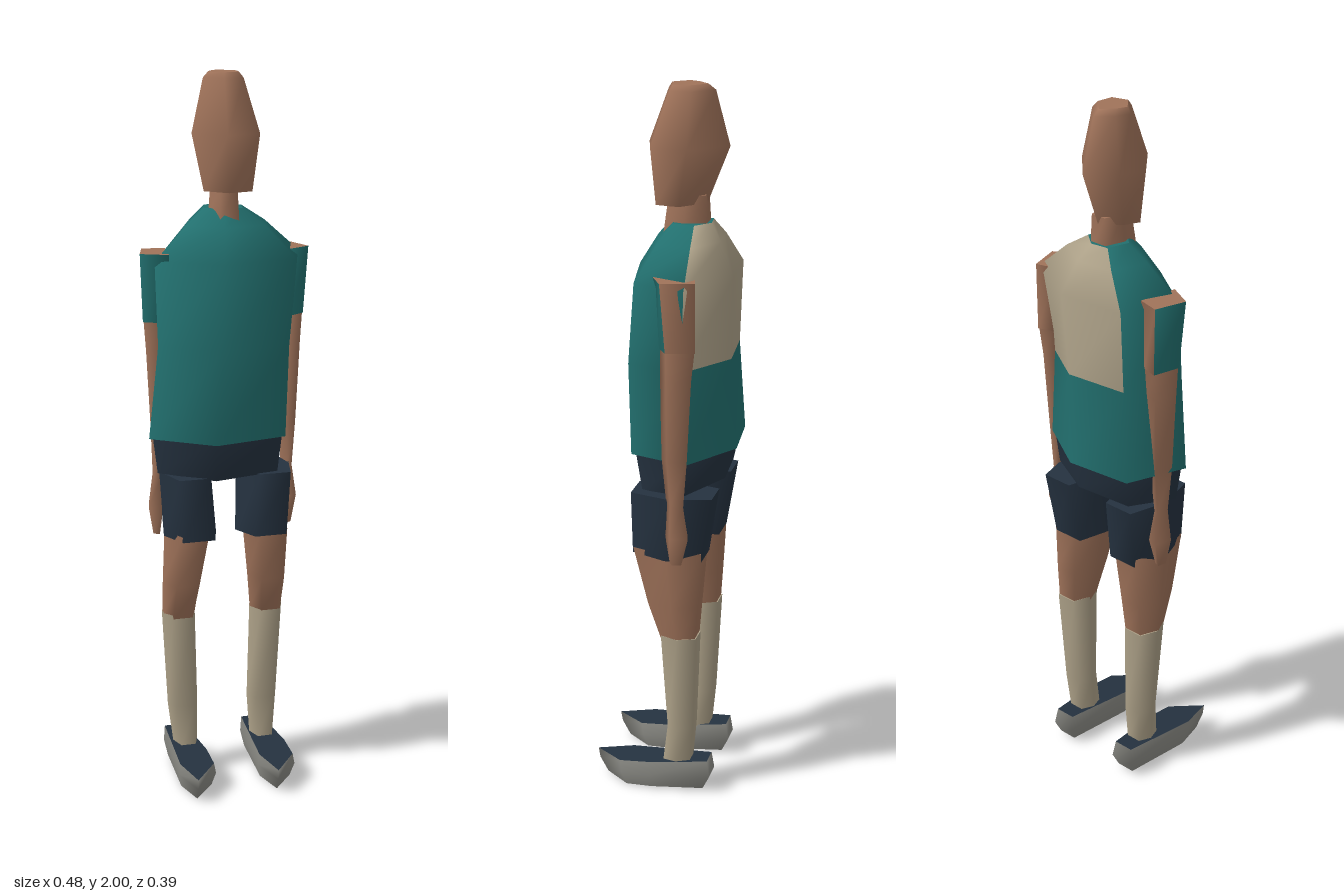
import * as THREE from 'three';

const mat = (name, color) => Object.assign(new THREE.MeshStandardMaterial({ color }), { name });

// Cross-section outlines in a -1..1 box, ordered back, +x, front, -x
const BODY = [[-0.7, -0.88], [0.2, -1], [1, -0.35], [0.75, 0.7], [-0.25, 1], [-1, 0.2]];
const HEAD = [[-0.7, -0.4], [0, -1], [1, -0.15], [0.85, 0.75], [-0.2, 1], [-1, 0.2]];
const LIMB = [[-0.6, -1], [0.6, -1], [1, 0], [0.6, 1], [-0.6, 1], [-1, 0]];
const ARM_R = [[-0.4, -1], [1, -0.75], [0.6, 1], [-1, 0.4]];
const ARM_L = [[0.4, -1], [1, 0.4], [-0.6, 1], [-1, -0.75]];
const SHOE = [[-0.6, -1], [0.6, -1], [1, 0], [0.95, 0.5], [-0.45, 1], [-0.95, 0.4]];

// Loft rings [y, x0, x1, z0, z1, tilt] from bottom to top.
// pick(row, side) gives a material index; row -1 is the bottom cap, row = rings - 1 the top cap.
function loft(name, outline, rings, mats, pick = () => 0) {
  const n = outline.length, pos = [], faces = mats.map(() => []);
  const ringPoints = ([y, x0, x1, z0, z1, tilt = 0]) => outline.map(([px, pz]) =>
    [(x0 + x1) / 2 + px * (x1 - x0) / 2, y + tilt * pz, (z0 + z1) / 2 + pz * (z1 - z0) / 2]);
  rings.forEach((r) => pos.push(...ringPoints(r).flat()));
  for (let r = 0; r < rings.length - 1; r++) {
    for (let i = 0; i < n; i++) {
      const j = (i + 1) % n, a = r * n + i, b = r * n + j;
      faces[pick(r, i)].push(b, a, a + n, b, a + n, b + n);
    }
  }
  // Flat caps on their own vertices
  [[0, -1], [rings.length - 1, rings.length - 1]].forEach(([r, row]) => {
    const base = pos.length / 3;
    pos.push(...ringPoints(rings[r]).flat());
    for (let i = 1; i < n - 1; i++) {
      const tri = row < 0 ? [base, base + i, base + i + 1] : [base, base + i + 1, base + i];
      faces[pick(row, 0)].push(...tri);
    }
  });
  const g = new THREE.BufferGeometry();
  g.setAttribute('position', new THREE.Float32BufferAttribute(pos, 3));
  g.setIndex(faces.flat());
  let start = 0;
  faces.forEach((f, k) => { g.addGroup(start, f.length, k); start += f.length; });
  g.computeVertexNormals();
  const mesh = new THREE.Mesh(g, mats.length > 1 ? mats : mats[0]);
  mesh.name = name;
  return mesh;
}

export function createModel() {
  const model = new THREE.Group();
  model.name = 'standingFigure';
  const skin = mat('skin', 0xa0735a);
  const teal = mat('tealShirt', 0x22706f);
  const cream = mat('cream', 0xaea289);
  const navy = mat('navy', 0x253240);
  const grey = mat('shoeGrey', 0x8c8c86);

  // Head and neck
  model.add(loft('head', HEAD, [
    [1.685, -0.065, 0.07, -0.1, 0.045],
    [1.84, -0.095, 0.092, -0.16, 0.065],
    [1.985, -0.058, 0.053, -0.12, 0.01],
    [2.0, -0.045, 0.04, -0.1, 0.0],
  ], [skin]));
  model.add(loft('neck', LIMB, [
    [1.6, -0.045, 0.045, -0.105, 0.015],
    [1.71, -0.035, 0.04, -0.1, 0.0],
  ], [skin]));

  // Shirt with a cream panel on the upper back
  model.add(loft('shirt', BODY, [
    [1.01, -0.226, 0.195, -0.192, 0.122],
    [1.27, -0.2, 0.2, -0.178, 0.125],
    [1.5, -0.203, 0.232, -0.185, 0.098],
    [1.59, -0.11, 0.13, -0.145, 0.04],
    [1.635, -0.055, 0.06, -0.115, 0.0],
  ], [teal, cream], (row, side) => (row >= 1 && row <= 3 && side < 2 ? 1 : 0)));

  // Hips of the shorts
  model.add(loft('shortsHips', BODY, [
    [0.91, -0.2, 0.175, -0.16, 0.085, -0.01],
    [1.02, -0.215, 0.187, -0.183, 0.108],
  ], [navy]));

  // Arms: short sleeves, forearms and hands
  [[-1, ARM_R, [2, 3]], [1, ARM_L, [1]]].forEach(([s, outline, tealSides]) => {
    const ring = (y, inner, outer, z0, z1) =>
      [y, Math.min(s * inner, s * outer), Math.max(s * inner, s * outer), z0, z1];
    const side = s > 0 ? 'left' : 'right';
    model.add(loft(side + 'Sleeve', outline, [
      ring(1.33, 0.165, 0.23, -0.12, -0.01),
      ring(1.52, 0.15, 0.24, -0.12, 0.008),
    ], [skin, teal], (row, f) => (row === 0 && tealSides.includes(f) ? 1 : 0)));
    model.add(loft(side + 'Forearm', outline, [
      ring(0.72, 0.183, 0.203, -0.08, -0.045),
      ring(0.8, 0.172, 0.217, -0.1, -0.03),
      ring(0.89, 0.18, 0.203, -0.085, -0.035),
      ring(1.02, 0.17, 0.21, -0.095, -0.02),
      ring(1.25, 0.165, 0.222, -0.108, -0.015),
      ring(1.335, 0.165, 0.228, -0.118, -0.012),
    ], [skin]));
  });

  // Legs: shorts, bare leg, sock and shoe
  [-1, 1].forEach((s) => {
    const ring = (y, inner, outer, z0, z1, tilt) =>
      [y, Math.min(s * inner, s * outer), Math.max(s * inner, s * outer), z0, z1, tilt];
    const side = s > 0 ? 'left' : 'right';
    model.add(loft(side + 'ShortsLeg', LIMB, [
      ring(0.72, 0.028, 0.18, -0.125, 0.07, 0.005),
      ring(0.905, 0.04, 0.19, -0.155, 0.072),
    ], [navy]));
    model.add(loft(side + 'Leg', LIMB, [
      ring(0.47, 0.083, 0.177, -0.108, -0.014),
      ring(0.58, 0.07, 0.18, -0.115, 0.025),
      ring(0.74, 0.05, 0.178, -0.125, 0.068),
    ], [skin]));
    model.add(loft(side + 'Sock', LIMB, [
      ring(0.08, 0.08, 0.15, -0.09, -0.012),
      ring(0.2, 0.075, 0.163, -0.1, -0.028),
      ring(0.485, 0.082, 0.179, -0.112, -0.012),
    ], [cream]));

    const x = s > 0 ? 0.115 : -0.12;
    model.add(loft(side + 'Shoe', SHOE, [
      [0.005, x - 0.045, x + 0.045, -0.13, 0.165, -0.005],
      [0.045, x - 0.055, x + 0.055, -0.15, 0.19, -0.005],
      [0.083, x - 0.052, x + 0.047, -0.142, 0.195, -0.014],
    ], [grey, navy], (row) => (row === 2 ? 1 : 0)));
  });

  return model;
}
